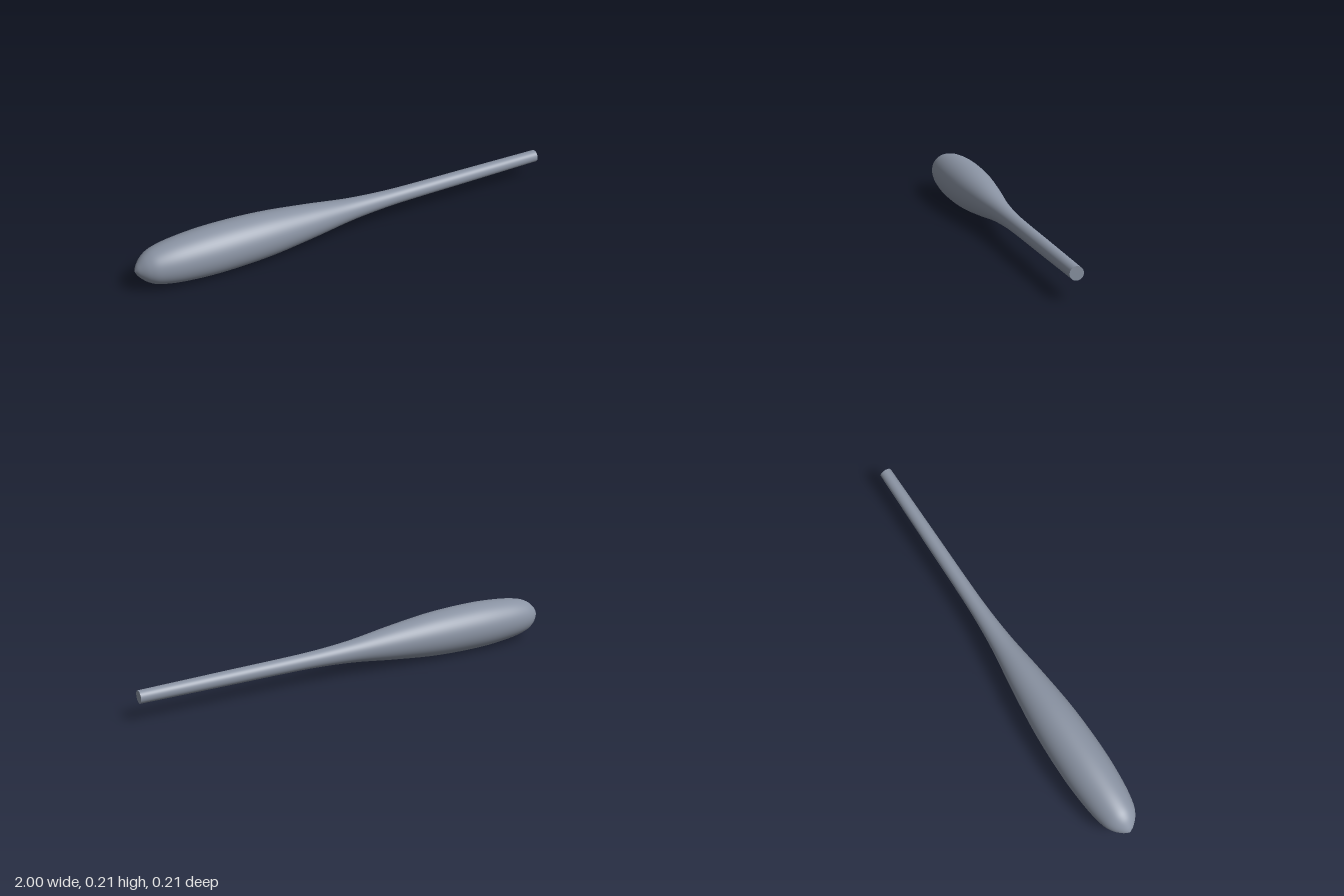
import * as THREE from 'three';

export function createModel() {
  const group = new THREE.Group();
  const greyBlue = new THREE.MeshStandardMaterial({ color: 0x8a93a3 });
  greyBlue.name = 'greyBlue';
  const axisHeight = 0.1065;
  const endRadius = 0.028;

  // Profile as (radius, position along x), from the blunt tip to the thin end
  const profile = new THREE.SplineCurve([
    [0, -1], [0.028, -0.985], [0.061, -0.95], [0.082, -0.9], [0.098, -0.8],
    [0.1065, -0.64], [0.1, -0.42], [0.077, -0.2], [0.051, 0],
    [0.038, 0.18], [0.034, 0.35], [0.032, 0.6], [endRadius, 1],
  ].map(([r, x]) => new THREE.Vector2(r, x)));
  const points = profile.getPoints(96);
  points.forEach((p) => { p.x = Math.max(p.x, 0); });

  // Swollen head running smoothly into the slender shaft
  const body = new THREE.Mesh(new THREE.LatheGeometry(points, 64), greyBlue);
  body.name = 'body';
  body.rotation.z = -Math.PI / 2;
  body.position.y = axisHeight;
  group.add(body);

  // Flat cap with a sharp edge at the thin end
  const cap = new THREE.Mesh(new THREE.CircleGeometry(endRadius, 64), greyBlue);
  cap.name = 'shaftEnd';
  cap.rotation.y = Math.PI / 2;
  cap.position.set(1, axisHeight, 0);
  group.add(cap);

  return group;
}
